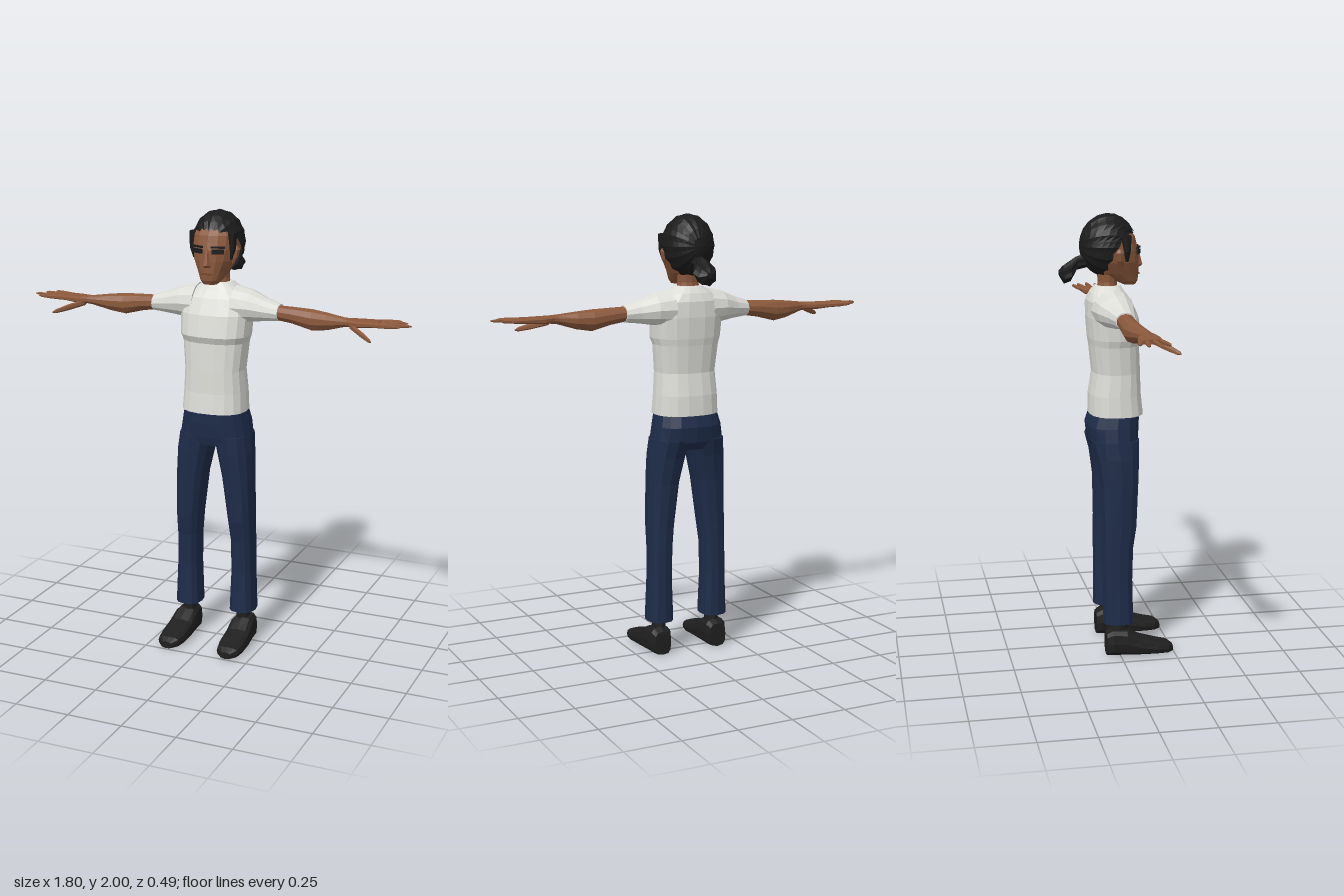
import * as THREE from 'three';

const paint = (name, color, side = THREE.FrontSide) => {
  const m = new THREE.MeshStandardMaterial({ color, side });
  m.name = name;
  return m;
};

// Faceted geometry from points and faces
function faceted(pos, idx) {
  const g = new THREE.BufferGeometry();
  g.setAttribute('position', new THREE.Float32BufferAttribute(pos, 3));
  g.setIndex(idx);
  const flat = g.toNonIndexed();
  flat.computeVertexNormals();
  return flat;
}

// Closed loft through rounded cross-sections, in ascending order along an axis.
// Section: [position, aMin, aMax, bMin, bMax]; (a, b) are the other two axes in xyz order.
// pow < 1 makes the sections boxier; side = -1 mirrors across x.
function loft(axis, sections, { n = 12, pow = 1, side = 1, ridge = 0 } = {}) {
  const pos = [], idx = [];
  const put = (t, a, b) => {
    const p = axis === 'x' ? [t, a, b] : axis === 'y' ? [a, t, b] : [a, b, t];
    pos.push(p[0] * side, p[1], p[2]);
  };
  const bend = v => Math.sign(v) * Math.abs(v) ** pow;
  for (const [t, a0, a1, b0, b1] of sections) {
    for (let j = 0; j < n; j++) {
      const w = 2 * Math.PI * j / n, r = 0.5 * (1 - ridge * (j % 2));
      put(t, (a0 + a1) / 2 + (a1 - a0) * r * bend(Math.cos(w)),
        (b0 + b1) / 2 + (b1 - b0) * r * bend(Math.sin(w)));
    }
  }
  const flip = (axis === 'y') !== (side < 0);
  const tri = (a, b, c) => flip ? idx.push(a, c, b) : idx.push(a, b, c);
  const last = sections.length - 1;
  for (let i = 0; i < last; i++) {
    for (let j = 0; j < n; j++) {
      const k = (j + 1) % n, p = i * n, q = p + n;
      tri(p + j, p + k, q + k);
      tri(p + j, q + k, q + j);
    }
  }
  for (const i of [0, last]) {
    const [t, a0, a1, b0, b1] = sections[i], c = pos.length / 3;
    put(t, (a0 + a1) / 2, (b0 + b1) / 2);
    for (let j = 0; j < n; j++) {
      const p = i * n + j, q = i * n + (j + 1) % n;
      i === 0 ? tri(c, q, p) : tri(c, p, q);
    }
  }
  return faceted(pos, idx);
}

// Finger sections running outward from a base point to a tip
function finger(from, to, r) {
  return [[0, 1], [0.55, 0.95], [0.9, 0.65], [1, 0.2]].map(([t, k]) => {
    const [x, y, z] = from.map((v, i) => v + (to[i] - v) * t);
    return [x, y - r * k * 0.8, y + r * k * 0.8, z - r * k, z + r * k];
  });
}

// Swept-back hair: strands fan from the back of the skull to the hairline
function hairCap() {
  const pos = [], idx = [], n = 32, rows = 9;
  const line = [[0, 156], [45, 147], [72, 122], [90, 104], [115, 90], [150, 80], [180, 78]];
  const limit = deg => {
    const i = Math.max(1, line.findIndex(p => p[0] >= deg));
    const [a, b] = [line[i - 1], line[i]];
    return a[1] + (b[1] - a[1]) * (deg - a[0]) / (b[0] - a[0]);
  };
  for (let j = 0; j < n; j++) {
    const w = 2 * Math.PI * j / n, odd = j % 2;
    const deg = Math.min(360 * j / n, 360 - 360 * j / n);
    const end = (limit(deg) - odd * 5) * Math.PI / 180;
    for (let i = 0; i <= rows; i++) {
      const f = end * i / rows, r = 1 - 0.03 * odd * Math.sin(f);
      pos.push(0.117 * r * Math.sin(f) * Math.sin(w), 1.86 + 0.14 * r * Math.sin(f) * Math.cos(w),
        -0.027 - 0.127 * r * Math.cos(f));
    }
  }
  for (let j = 0; j < n; j++) {
    for (let i = 0; i < rows; i++) {
      const a = j * (rows + 1) + i, b = ((j + 1) % n) * (rows + 1) + i;
      idx.push(a, a + 1, b + 1, a, b + 1, b);
    }
  }
  return faceted(pos, idx);
}

export function createModel() {
  const model = new THREE.Group();
  model.name = 'figure';
  const skin = paint('skin', 0x8a583b);
  const lip = paint('lip', 0x6e432c);
  const shirt = paint('shirt white', 0xdcdcd7);
  const denim = paint('trouser navy', 0x1e2c49);
  const hair = paint('hair black', 0x1b1b1b, THREE.DoubleSide);
  const leather = paint('shoe black', 0x1f1f1f);
  const add = (name, geo, mat, parent = model) => {
    const m = new THREE.Mesh(geo, mat);
    m.name = name;
    parent.add(m);
    return m;
  };
  const plate = (name, size, at, mat, turn = 0) => {
    const m = add(name, new THREE.BoxGeometry(...size), mat);
    m.position.set(...at);
    m.rotation.y = turn;
  };

  // Head and neck
  add('head', loft('y', [
    [1.687, -0.032, 0.032, 0.04, 0.095], [1.705, -0.048, 0.048, 0.0, 0.106],
    [1.74, -0.066, 0.066, -0.07, 0.11], [1.79, -0.09, 0.09, -0.1, 0.11],
    [1.84, -0.1, 0.1, -0.125, 0.108], [1.9, -0.1, 0.1, -0.122, 0.092],
    [1.96, -0.066, 0.066, -0.095, 0.045]], { n: 16, pow: 0.85 }), skin);
  add('neck', loft('y', [
    [1.65, -0.056, 0.056, -0.082, 0.018], [1.7, -0.048, 0.048, -0.072, 0.014],
    [1.78, -0.052, 0.052, -0.08, 0.02]]), skin);
  add('nose', loft('y', [
    [1.764, -0.015, 0.015, 0.09, 0.118], [1.774, -0.018, 0.018, 0.09, 0.129],
    [1.8, -0.012, 0.012, 0.09, 0.122], [1.845, -0.008, 0.008, 0.09, 0.11]], { n: 6 }), skin);
  plate('mouth', [0.044, 0.006, 0.008], [0, 1.735, 0.108], lip);

  // Hair and ponytail
  add('hair', hairCap(), hair);
  add('ponytail', loft('z', [
    [-0.245, -0.015, 0.015, 1.73, 1.755], [-0.225, -0.045, 0.045, 1.695, 1.778],
    [-0.195, -0.056, 0.056, 1.705, 1.797], [-0.167, -0.036, 0.036, 1.755, 1.815],
    [-0.12, -0.034, 0.034, 1.765, 1.83]], { n: 14, ridge: 0.14 }), hair);

  // Shirt body with a soft chest fold
  add('shirtBody', loft('y', [
    [1.11, -0.148, 0.148, -0.117, 0.127], [1.2, -0.143, 0.143, -0.115, 0.117],
    [1.3, -0.136, 0.136, -0.1, 0.114], [1.425, -0.148, 0.148, -0.113, 0.108],
    [1.455, -0.158, 0.158, -0.118, 0.122], [1.55, -0.163, 0.163, -0.125, 0.103],
    [1.62, -0.15, 0.15, -0.122, 0.072], [1.655, -0.105, 0.105, -0.108, 0.045],
    [1.685, -0.062, 0.062, -0.085, 0.026]], { n: 18, pow: 0.8 }), shirt);

  // Trouser seat
  add('trouserSeat', loft('y', [
    [0.955, -0.16, 0.16, -0.1, 0.09], [0.99, -0.166, 0.166, -0.12, 0.1],
    [1.06, -0.154, 0.154, -0.129, 0.106], [1.12, -0.14, 0.14, -0.11, 0.108]],
  { n: 16, pow: 0.75 }), denim);

  for (const [label, side] of [['left', 1], ['right', -1]]) {
    const part = (name, axis, sections, mat, opt = {}) =>
      add(label + name, loft(axis, sections, { side, ...opt }), mat);

    // Face and hair sides
    plate(label + 'Eye', [0.054, 0.02, 0.008], [side * 0.048, 1.834, 0.1], hair, side * 0.38);
    plate(label + 'Eyebrow', [0.062, 0.008, 0.009], [side * 0.049, 1.853, 0.099], hair, side * 0.38);
    part('Ear', 'y', [[1.775, 0.08, 0.092, 0.01, 0.025], [1.8, 0.08, 0.107, -0.005, 0.03],
      [1.835, 0.08, 0.115, -0.012, 0.03], [1.85, 0.08, 0.105, -0.005, 0.025]], skin, { n: 8 });
    part('Sideburn', 'y', [[1.795, 0.075, 0.092, 0.035, 0.05], [1.84, 0.075, 0.107, 0.026, 0.058],
      [1.91, 0.075, 0.108, 0.01, 0.062]], hair, { n: 8, pow: 0.7 });

    // Sleeve and arm
    part('Sleeve', 'x', [[0.09, 1.5, 1.672, -0.118, 0.075], [0.165, 1.515, 1.655, -0.105, 0.065],
      [0.235, 1.525, 1.627, -0.07, 0.052], [0.3, 1.532, 1.607, -0.05, 0.043]], shirt);
    part('Arm', 'x', [[0.28, 1.537, 1.602, -0.044, 0.038], [0.36, 1.525, 1.6, -0.046, 0.036],
      [0.45, 1.502, 1.597, -0.045, 0.036], [0.52, 1.513, 1.59, -0.032, 0.042],
      [0.6, 1.537, 1.58, -0.006, 0.05], [0.64, 1.542, 1.577, -0.008, 0.055]], skin, { n: 10 });

    // Hand
    part('Palm', 'x', [[0.62, 1.543, 1.577, -0.008, 0.053], [0.67, 1.542, 1.576, -0.03, 0.066],
      [0.73, 1.548, 1.575, -0.038, 0.062], [0.755, 1.552, 1.572, -0.036, 0.056]], skin,
    { n: 10, pow: 0.75 });
    const tips = [[0.835, -0.052], [0.87, -0.022], [0.9, 0.025], [0.86, 0.066]];
    tips.forEach(([x, z], i) => part('Finger' + (i + 1), 'x',
      finger([0.72, 1.561, -0.026 + i * 0.025], [x, 1.566, z], 0.0125), skin, { n: 6 }));
    part('Thumb', 'x', finger([0.635, 1.548, 0.038], [0.755, 1.508, 0.13], 0.018), skin, { n: 6 });

    // Trouser leg
    part('TrouserLeg', 'y', [[0.155, 0.075, 0.195, -0.075, 0.065], [0.35, 0.083, 0.187, -0.075, 0.06],
      [0.5, 0.08, 0.185, -0.076, 0.064], [0.6, 0.07, 0.185, -0.076, 0.08],
      [0.8, 0.044, 0.181, -0.082, 0.091], [0.92, 0.018, 0.175, -0.1, 0.098],
      [1.0, 0, 0.165, -0.122, 0.1]], denim, { pow: 0.8 });

    // Ankle and shoe
    part('Ankle', 'y', [[0.08, 0.102, 0.168, -0.045, 0.04], [0.17, 0.105, 0.165, -0.035, 0.035]],
      leather, { n: 8 });
    part('Shoe', 'z', [[-0.062, 0.1, 0.18, 0, 0.11], [-0.035, 0.088, 0.192, 0, 0.127],
      [0.03, 0.085, 0.198, 0, 0.122], [0.09, 0.084, 0.204, 0, 0.085],
      [0.17, 0.084, 0.206, 0, 0.06], [0.22, 0.095, 0.198, 0, 0.05],
      [0.245, 0.122, 0.172, 0.002, 0.034]], leather, { pow: 0.65 });
  }
  return model;
}
